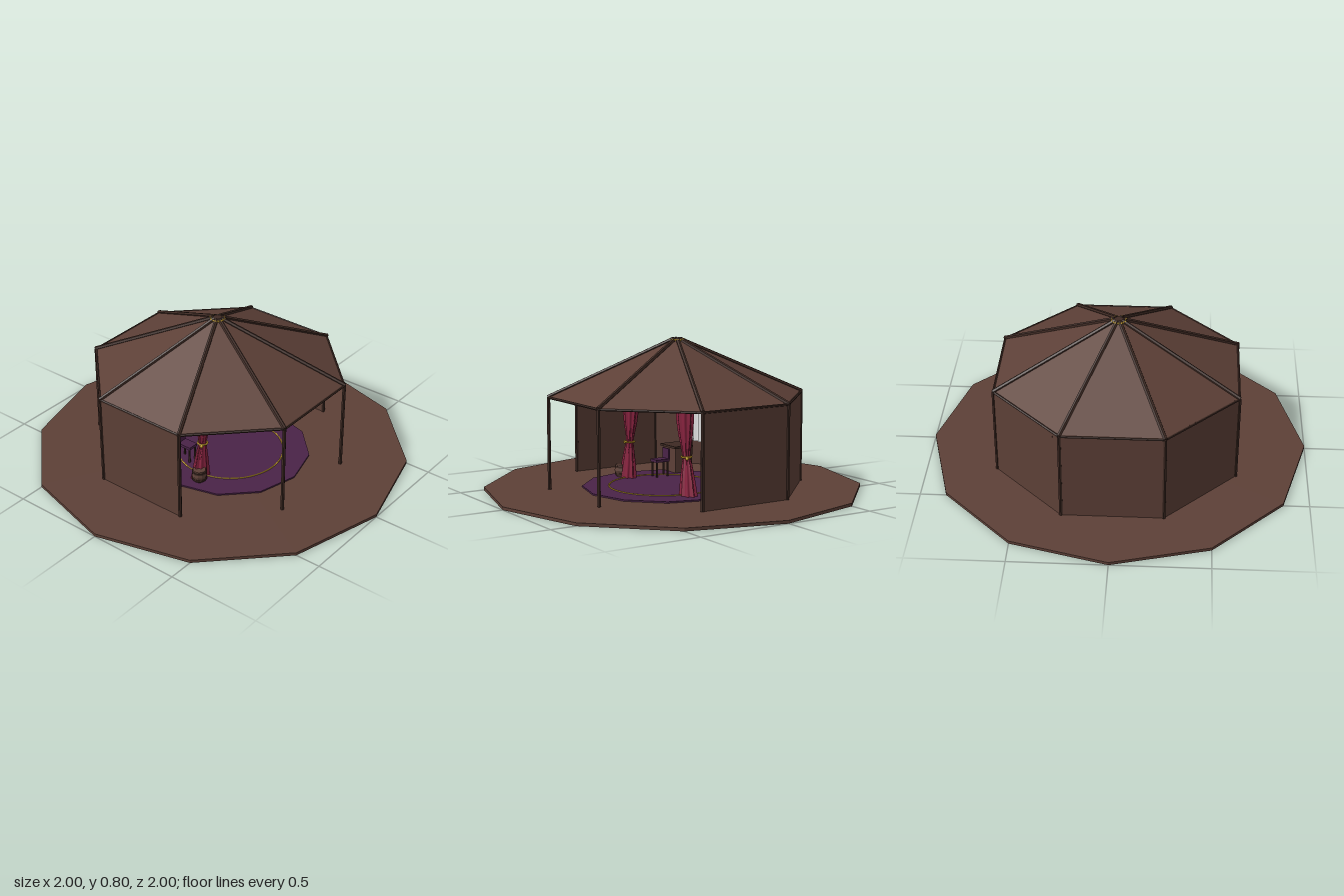
import * as THREE from 'three';

const mat = (name, color, extra = {}) =>
  Object.assign(new THREE.MeshStandardMaterial({ color, ...extra }), { name });

export function createModel() {
  const brown = mat('brown canvas', 0x5d4037, { side: THREE.DoubleSide, flatShading: true });
  const dark = mat('dark wood', 0x3e2a23, { flatShading: true });
  const red = mat('red velvet', 0x8a2340, { side: THREE.DoubleSide });
  const purple = mat('purple cloth', 0x4a2348, { flatShading: true });
  const gold = mat('gold trim', 0xc9a227);
  const white = mat('white linen', 0xf5f5f5, { side: THREE.DoubleSide });

  const model = new THREE.Group();
  model.name = 'pavilion';
  const add = (name, geo, material, x = 0, y = 0, z = 0, parent = model) => {
    const m = new THREE.Mesh(geo, material);
    m.name = name;
    m.position.set(x, y, z);
    parent.add(m);
    return m;
  };
  const box = (name, w, h, d, material, x, y, z, parent) =>
    add(name, new THREE.BoxGeometry(w, h, d), material, x, y, z, parent);
  const beam = (name, a, b, r, parent) => {
    const dir = b.clone().sub(a);
    const m = add(name, new THREE.CylinderGeometry(r, r, dir.length(), 6), dark, 0, 0, 0, parent);
    m.position.copy(a).add(b).multiplyScalar(0.5);
    m.quaternion.setFromUnitVectors(new THREE.Vector3(0, 1, 0), dir.normalize());
    return m;
  };
  const ring = (name, r, tube, y, x, z, parent, segs = 24) => {
    const m = add(name, new THREE.TorusGeometry(r, tube, 6, segs), gold, x, y, z, parent);
    m.rotation.x = Math.PI / 2;
    return m;
  };

  // Ground platform
  add('platform', new THREE.CylinderGeometry(1, 1, 0.016, 12), brown, 0, 0.008, 0);

  // Eight-sided tent: five closed sides, three open ones at the front
  const tent = new THREE.Group();
  tent.name = 'tent';
  tent.position.z = -0.022;
  model.add(tent);
  const R = 0.68, eave = 0.5, apex = 0.79, step = Math.PI / 4;
  const corner = (k, r, y) => {
    const a = (k + 0.5) * step;
    return new THREE.Vector3(r * Math.sin(a), y, r * Math.cos(a));
  };
  add('roof', new THREE.CylinderGeometry(0.02, R, apex - eave, 8, 1, true, step / 2),
    brown, 0, (apex + eave) / 2, 0, tent);
  for (let k = 0; k < 8; k++) {
    beam('post', corner(k, R - 0.004, 0.01), corner(k, R - 0.004, eave), 0.01, tent);
    beam('roofRib', corner(k, R, eave + 0.003), corner(k, 0.02, apex + 0.003), 0.011, tent);
    beam('eaveBeam', corner(k, R - 0.004, eave), corner(k + 1, R - 0.004, eave), 0.007, tent);
    if (k >= 2 && k <= 6) {
      const a = k * step, r = R * Math.cos(step / 2) - 0.005;
      const wall = box('wall', 2 * R * Math.sin(step / 2), eave - 0.01, 0.008, brown,
        r * Math.sin(a), (eave + 0.01) / 2, r * Math.cos(a), tent);
      wall.rotation.y = a;
    }
  }

  // Crown at the roof peak
  add('crownCap', new THREE.CylinderGeometry(0.024, 0.03, 0.016, 8), dark, 0, apex, 0, tent);
  ring('crownRing', 0.033, 0.005, apex, 0, 0, tent);
  for (let k = 0; k < 8; k++) {
    const p = corner(k, 0.038, apex);
    add('crownBead', new THREE.SphereGeometry(0.007, 8, 6), gold, p.x, p.y, p.z, tent);
  }

  // Rug with gold ring
  add('rug', new THREE.CylinderGeometry(0.43, 0.43, 0.008, 12), purple, 0, 0.02, 0.06);
  ring('rugRing', 0.285, 0.004, 0.025, 0, 0.065, model, 48);

  // Tied curtains: pleated tubes pinched at the tie
  const profile = [[0.02, 0.055, 0.02], [0.1, 0.045, 0.013], [0.18, 0.031, 0.007], [0.22, 0.022, 0],
    [0.26, 0.028, -0.003], [0.33, 0.042, -0.008], [0.41, 0.052, -0.012], [0.495, 0.056, -0.014]];
  for (const side of [-1, 1]) {
    const geo = new THREE.CylinderGeometry(1, 1, 1, 48, profile.length - 1, true);
    const p = geo.attributes.position;
    for (let i = 0; i < p.count; i++) {
      const row = Math.round((p.getY(i) + 0.5) * (profile.length - 1));
      const [y, r, shift] = profile[row];
      const a = Math.atan2(p.getX(i), p.getZ(i));
      const rr = r * (1 + 0.12 * Math.cos(a * 9));
      p.setXYZ(i, rr * Math.sin(a) + side * shift, y, rr * 0.7 * Math.cos(a));
    }
    geo.computeVertexNormals();
    add('curtain', geo, red, side * 0.277, 0, 0.1);
    ring('curtainTie', 0.025, 0.005, 0.22, side * 0.277, 0.1);
    add('tieKnot', new THREE.SphereGeometry(0.009, 8, 6), gold, side * 0.305, 0.216, 0.115);
  }
  beam('curtainRod', new THREE.Vector3(-0.36, 0.495, 0.1), new THREE.Vector3(0.36, 0.495, 0.1), 0.005);

  // Pleated white hangings
  const linen = (name, w, h, x, y, z) => {
    const geo = new THREE.PlaneGeometry(w, h, 40, 1);
    const p = geo.attributes.position;
    for (let i = 0; i < p.count; i++) p.setZ(i, 0.006 * Math.sin(p.getX(i) * 130));
    geo.computeVertexNormals();
    return add(name, geo, white, x, y, z);
  };
  for (const x of [-0.1, 0.18]) {
    linen('backHanging', 0.2, 0.285, x, 0.327, -0.61);
    box('hangingRail', 0.23, 0.01, 0.012, dark, x, 0.475, -0.61);
  }

  // Dressing screen on the left
  linen('screenCloth', 0.15, 0.26, -0.27, 0.31, -0.34);
  box('screenRail', 0.18, 0.01, 0.012, dark, -0.27, 0.442, -0.34);
  for (const x of [-0.35, -0.19]) box('screenPost', 0.01, 0.44, 0.012, dark, x, 0.235, -0.345);

  // Side chest on the left
  box('chest', 0.13, 0.14, 0.1, brown, -0.305, 0.09, -0.22);
  box('chestTop', 0.15, 0.012, 0.12, dark, -0.305, 0.166, -0.22);

  // Small chair with purple cushions
  for (const x of [-0.24, -0.195]) for (const z of [-0.09, -0.02])
    box('chairLeg', 0.008, 0.09, 0.008, dark, x, 0.065, z);
  box('chairSeat', 0.06, 0.015, 0.085, purple, -0.217, 0.112, -0.055);
  box('chairBack', 0.06, 0.06, 0.01, purple, -0.217, 0.145, -0.095);

  // Barrel drum
  const drum = [[0, 0], [0.03, 0], [0.04, 0.035], [0.034, 0.068], [0, 0.068]];
  add('drum', new THREE.LatheGeometry(drum.map(([x, y]) => new THREE.Vector2(x, y)), 12), brown, -0.33, 0.022, 0.12);
  for (const y of [0.038, 0.078])
    add('drumHoop', new THREE.CylinderGeometry(0.039, 0.039, 0.01, 12), dark, -0.33, y, 0.12);

  // Vanity table on the right, with shelves, bottles and flowers
  box('tableTop', 0.19, 0.012, 0.13, dark, 0.295, 0.187, -0.11);
  for (const y of [0.11, 0.05]) box('tableShelf', 0.17, 0.008, 0.11, brown, 0.295, y, -0.11);
  for (const x of [0.21, 0.38]) for (const z of [-0.165, -0.055])
    box('tableLeg', 0.012, 0.165, 0.012, dark, x, 0.1, z);
  const bottles = [[0.24, -0.09, purple], [0.265, -0.13, gold], [0.29, -0.08, purple]];
  for (const [x, z, m] of bottles)
    add('bottle', new THREE.CylinderGeometry(0.005, 0.011, 0.035, 8), m, x, 0.21, z);
  add('vase', new THREE.CylinderGeometry(0.012, 0.008, 0.025, 8), gold, 0.325, 0.205, -0.1);
  for (let i = 0; i < 5; i++) {
    const a = i * Math.PI * 0.4;
    add('flower', new THREE.SphereGeometry(0.009, 8, 6), white,
      0.325 + 0.014 * Math.sin(a), 0.225 + 0.008 * Math.cos(a * 2), -0.1 + 0.014 * Math.cos(a));
  }

  return model;
}
